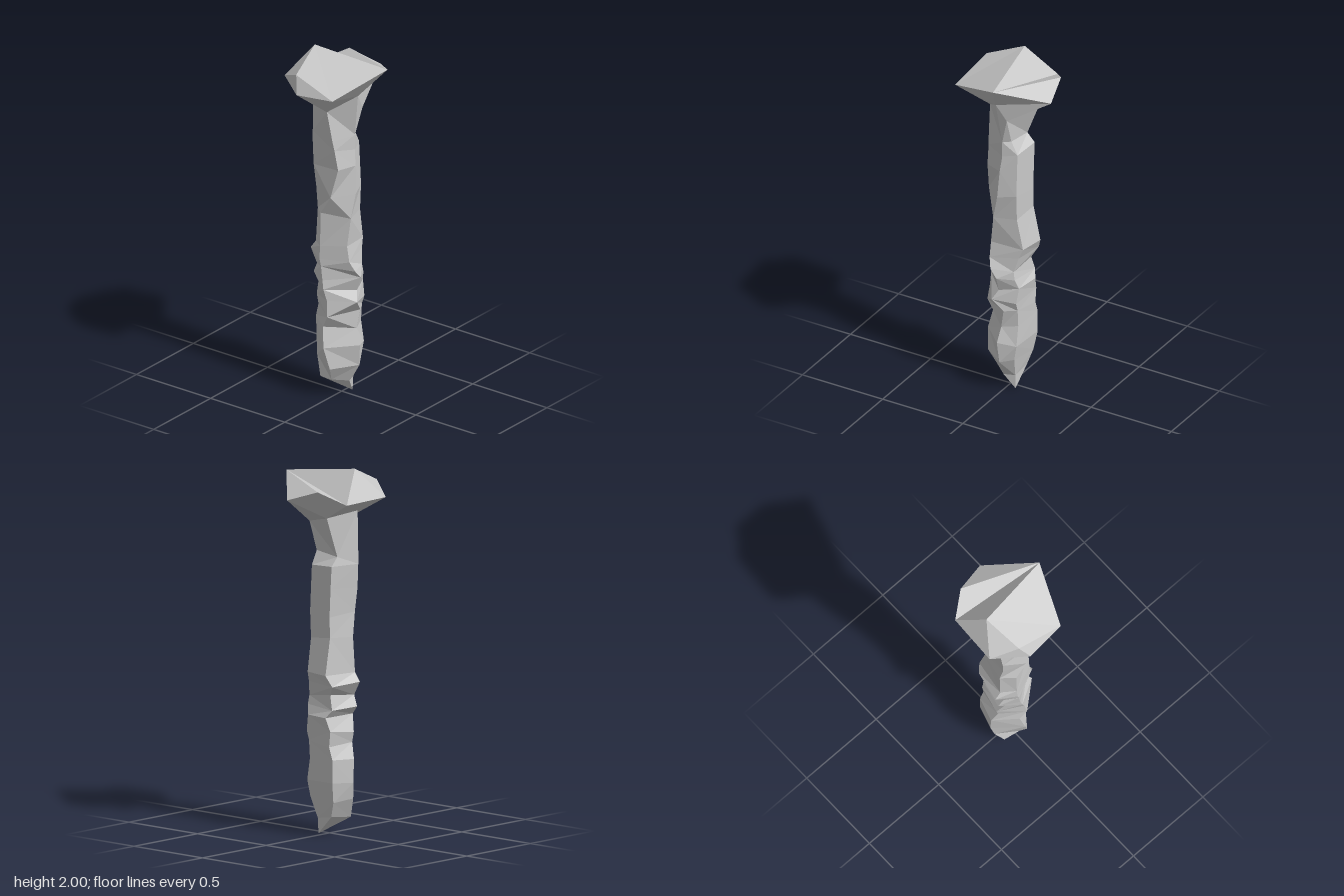
import * as THREE from 'three';

const stone = new THREE.MeshStandardMaterial({ color: 0xc8c8c8, flatShading: true });
stone.name = 'pale grey stone';

// Mesh from a list of triangles, each a trio of [x, y, z] corners
function facetMesh(name, triangles) {
  const geometry = new THREE.BufferGeometry();
  geometry.setAttribute('position', new THREE.Float32BufferAttribute(triangles.flat(2), 3));
  geometry.computeVertexNormals();
  const mesh = new THREE.Mesh(geometry, stone);
  mesh.name = name;
  return mesh;
}

// Five-sided collar where shaft and head meet: left front, front, right, back right, back left
const neck = [
  [-0.13, 1.76, 0.08], [0, 1.69, 0.13], [0.125, 1.78, 0.02],
  [0.11, 1.69, -0.04], [-0.1, 1.74, -0.13],
];

// Irregular faceted slab with a dent along its back
function buildHead() {
  const A = [-0.255, 1.83, -0.14], B = [-0.13, 1.9, -0.235], C = [0.05, 1.84, -0.28];
  const D = [0.27, 1.95, -0.05], E = [-0.17, 2, 0.015], F = [-0.27, 1.84, 0.15];
  const G = [-0.13, 1.91, 0.23], H = [-0.09, 1.82, 0.28], I = [0.14, 1.84, 0.265];
  const [n0, n1, n2, n3, n4] = neck;
  const top = [
    [E, G, I], [E, I, D], [G, H, I], [F, H, G], [F, G, E],
    [A, F, E], [A, E, D], [A, D, B], [B, D, C],
  ];
  const underside = [
    [A, n0, F], [n0, n1, F], [F, n1, H], [H, n1, I], [n1, n2, I], [I, n2, D],
    [D, n2, C], [n2, n3, C], [n3, n4, C], [C, n4, B], [B, n4, A], [n4, n0, A],
  ];
  return facetMesh('head', [...top, ...underside]);
}

// Jagged shaft lofted through uneven five-sided rings down to a point
function buildShaft() {
  // height, left x, left z, front ridge x, front ridge z, right x, right z, back z
  const sections = [
    [0.09, -0.09, 0.07, 0, 0.09, 0.06, 0.01, -0.06],
    [0.19, -0.135, 0.04, 0.02, 0.13, 0.12, 0, -0.08],
    [0.3, -0.15, 0.025, -0.01, 0.148, 0.13, 0.01, -0.1],
    [0.41, -0.15, 0.03, -0.03, 0.125, 0.1, 0, -0.1],
    [0.5, -0.118, 0.05, 0.01, 0.14, 0.11, -0.02, -0.1],
    [0.57, -0.13, 0.05, 0, 0.13, 0.135, 0.04, -0.1],
    [0.64, -0.095, 0.08, -0.02, 0.135, 0.11, 0.01, -0.11],
    [0.7, -0.135, 0.07, -0.03, 0.13, 0.135, 0.01, -0.09],
    [0.76, -0.105, 0.08, -0.04, 0.13, 0.13, 0.05, -0.08],
    [0.82, -0.155, 0.07, -0.05, 0.13, 0.105, 0.07, -0.105],
    [0.89, -0.12, 0.07, -0.05, 0.125, 0.09, 0.07, -0.13],
    [1.07, -0.115, 0.06, -0.05, 0.12, 0.1, 0.05, -0.09],
    [1.2, -0.11, 0.08, 0.02, 0.125, 0.11, 0.02, -0.09],
    [1.35, -0.12, 0.09, 0.06, 0.11, 0.1, 0.01, -0.09],
    [1.46, -0.13, 0.085, 0.04, 0.115, 0.09, 0, -0.09],
    [1.53, -0.13, 0.085, 0.03, 0.12, 0.09, 0, -0.045],
  ];
  const rings = sections.map(([y, left, leftZ, ridge, front, right, rightZ, back], k) => {
    const corners = [
      [left, leftZ], [ridge, front], [right, rightZ],
      [right * 0.65, back * 0.85], [left * 0.75, back],
    ];
    return corners.map(([x, z], i) => [x, y + 0.012 * Math.sin(k * 2.3 + i * 1.9), z]);
  });
  rings.push(neck);

  const tip = [0.035, 0, -0.05];
  const triangles = [];
  for (let i = 0; i < 5; i++) {
    const j = (i + 1) % 5;
    triangles.push([tip, rings[0][j], rings[0][i]]);
    for (let k = 0; k < rings.length - 1; k++) {
      const a = rings[k][i], b = rings[k][j], c = rings[k + 1][j], d = rings[k + 1][i];
      // Alternate the diagonals so the facets look broken
      if ((i + k) % 2) triangles.push([a, b, c], [a, c, d]);
      else triangles.push([a, b, d], [b, c, d]);
    }
  }
  return facetMesh('shaft', triangles);
}

export function createModel() {
  const model = new THREE.Group();
  model.name = 'stone spike';
  model.add(buildHead(), buildShaft());
  return model;
}
